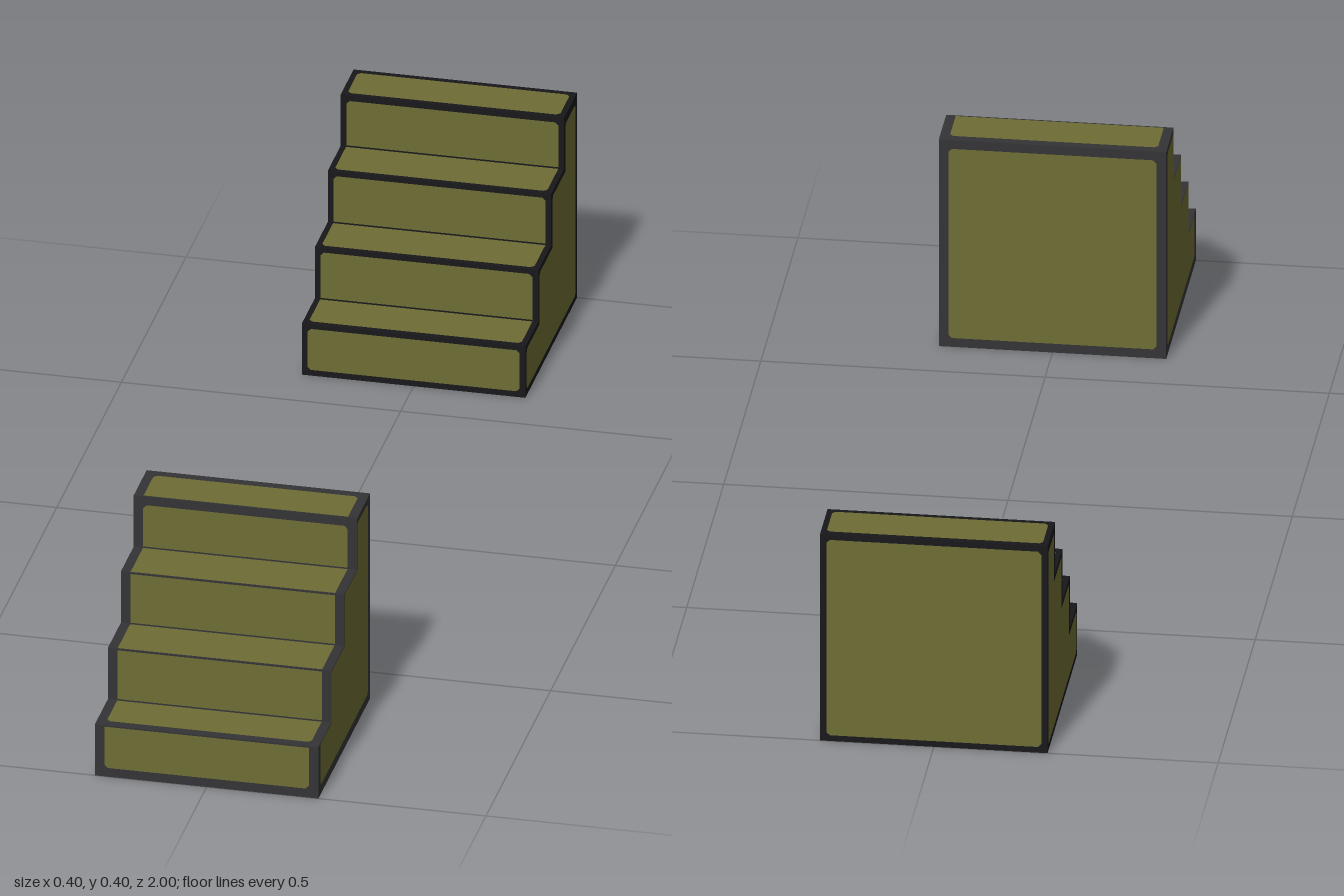
import * as THREE from 'three';

const STEPS = 4, RUN = 0.1, H = 0.2, TOP = 0.4;

const olive = new THREE.MeshStandardMaterial({ color: 0x6e6d35 });
olive.name = 'olive';
const charcoal = new THREE.MeshStandardMaterial({ color: 0x343436 });
charcoal.name = 'charcoal';
const black = new THREE.MeshStandardMaterial({ color: 0x18181b });
black.name = 'nearBlack';

// Inset a counter-clockwise right-angled outline by one width per edge, trimming wide outer corners
function inset(pts, widths, trim) {
  const n = pts.length, out = [];
  for (let i = 0; i < n; i++) {
    const k = (i + n - 1) % n;
    const a = pts[i].clone().sub(pts[k]).normalize();
    const b = pts[(i + 1) % n].clone().sub(pts[i]).normalize();
    const p = pts[i].clone();
    p.x += -a.y * widths[k] - b.y * widths[i];
    p.y += a.x * widths[k] + b.x * widths[i];
    if (a.cross(b) > 0 && Math.min(widths[i], widths[k]) > 0.005) {
      out.push(p.clone().addScaledVector(a, -trim), p.clone().addScaledVector(b, trim));
    } else out.push(p);
  }
  return out;
}

// Flat face with a dark border around an olive field
function panel(name, pts, widths, dark, trim = 0.006) {
  const inner = inset(pts, widths, trim);
  const frame = new THREE.Shape(pts);
  frame.holes.push(new THREE.Path(inner));
  const g = new THREE.Group();
  g.name = name;
  const border = new THREE.Mesh(new THREE.ShapeGeometry(frame), dark);
  border.name = name + 'Border';
  const field = new THREE.Mesh(new THREE.ShapeGeometry(new THREE.Shape(inner)), olive);
  field.name = name + 'Field';
  g.add(border, field);
  return g;
}

// Rectangle centred on the origin: corners run bottom-left, bottom-right, top-right, top-left
function rect(w, h) {
  return [[-1, -1], [1, -1], [1, 1], [-1, 1]].map(([x, y]) => new THREE.Vector2(x * w / 2, y * h / 2));
}

// style: edge = outer border, side = side border, nose = step edge border, profile = side-face step border
function stairs(name, dark, { edge, side, nose, profile }) {
  const g = new THREE.Group();
  g.name = name;
  const thin = 0.002;

  // Risers and treads
  for (let i = 0; i < STEPS; i++) {
    const first = i === 0, last = i === STEPS - 1;
    const riser = panel('riser' + (i + 1), rect(2 * H, RUN),
      [first ? edge : thin, side, last ? edge : nose, side], dark);
    riser.position.set(0, (i + 0.5) * RUN, H - i * RUN);
    const tread = panel('tread' + (i + 1), rect(2 * H, RUN),
      [first ? edge : nose, side, last ? edge : thin, side], dark);
    tread.rotation.x = -Math.PI / 2;
    tread.position.set(0, (i + 1) * RUN, H - (i + 0.5) * RUN);
    g.add(riser, tread);
  }

  // Back wall and underside
  const back = panel('backWall', rect(2 * H, TOP), [edge, edge, edge, edge], dark);
  back.rotation.y = Math.PI;
  back.position.set(0, TOP / 2, -H);
  const base = panel('underside', rect(2 * H, 2 * H), [side, side, side, side], dark);
  base.rotation.x = Math.PI / 2;
  g.add(back, base);

  // Stepped side walls
  const pts = [new THREE.Vector2(-H, 0), new THREE.Vector2(H, 0)];
  const widths = [edge, edge];
  for (let i = STEPS - 1; i >= 0; i--) {
    pts.push(new THREE.Vector2(-H + (i + 1) * RUN, (i + 1) * RUN), new THREE.Vector2(-H + i * RUN, (i + 1) * RUN));
    widths.push(i === STEPS - 1 ? nose + 0.008 : profile, i === 0 ? edge : profile);
  }
  const left = panel('leftWall', pts, widths, dark);
  left.rotation.y = Math.PI / 2;
  left.position.x = H;
  const mirrored = pts.map(p => new THREE.Vector2(-p.x, p.y)).reverse();
  const n = widths.length;
  const right = panel('rightWall', mirrored, [...widths.slice(0, n - 1).reverse(), widths[n - 1]], dark);
  right.rotation.y = -Math.PI / 2;
  right.position.x = -H;
  g.add(left, right);
  return g;
}

export function createModel() {
  const model = new THREE.Group();
  model.name = 'pairOfStairs';
  const front = stairs('frontStairs', charcoal, { edge: 0.017, side: 0.017, nose: 0.003, profile: 0.002 });
  front.position.z = 0.8;
  const rear = stairs('rearStairs', black, { edge: 0.011, side: 0.01, nose: 0.009, profile: 0.01 });
  rear.position.z = -0.8;
  model.add(front, rear);
  return model;
}
